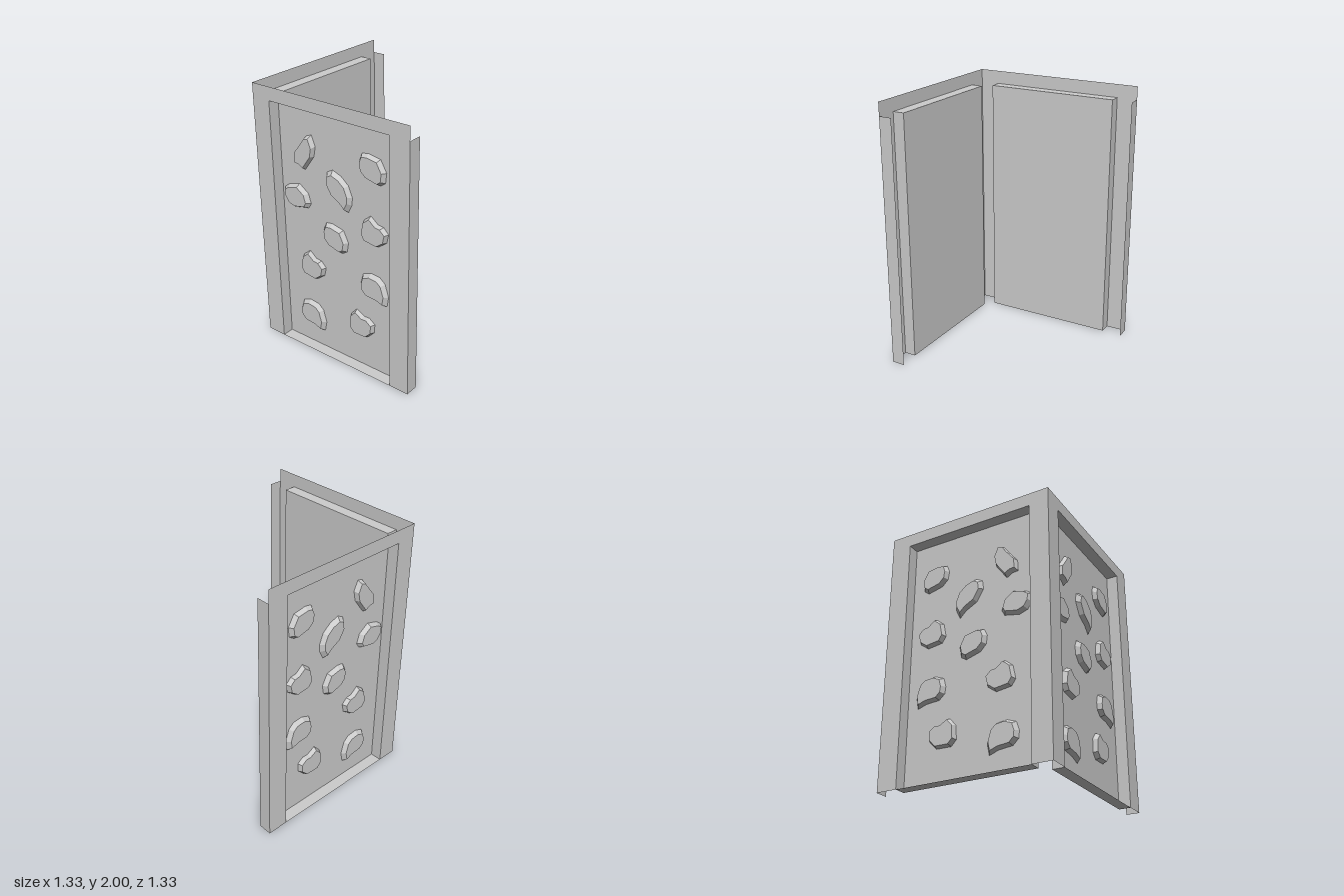
import * as THREE from 'three';

const W = 0.665;            // half width of a wall, also its distance from the centre
const H = 2, PANEL_H = 1.9; // wall height, recess height
const X0 = -0.515, X1 = 0.508; // recess sides
const BACK = 0.577;         // recess back plane
const Q = Math.PI / 2;

const material = new THREE.MeshStandardMaterial({
  color: 0xcccccc, flatShading: true, side: THREE.DoubleSide,
});

// Stone outlines in hundredths of a unit
const round = [[-11.1, 3.2], [-9, 8.5], [-3.7, 9.5], [6.3, 7.9], [11.1, -0.5], [10.1, -7.9],
  [6.3, -10.6], [-5.3, -7.9], [-10.1, -3.2]];
const hooked = [[-11.6, 2.1], [-9.5, 8.5], [-2.6, 11.1], [5.3, 10.1], [9.5, 6.3], [12.2, -3.2],
  [10.6, -11.1], [3.7, -8.5], [-6.9, -7.4], [-11.1, -3.2]];
const notched = [[-11.6, -3.2], [-9.5, 6.9], [-3.7, 11.6], [2.1, 6.9], [6.9, 6.3], [11.1, 2.1],
  [9.5, -4.8], [3.2, -9.5], [-8.5, -7.9]];
const drop = [[-11.6, 3.7], [-10.6, 10.6], [-5.8, 13.2], [1.6, 10.6], [7.9, 5.3], [11.1, -2.6],
  [10.6, -8.5], [7.4, -14.8], [2.6, -10.1], [-6.3, -5.3]];
const tall = [[-9.5, -10.1], [-9, -1.6], [-2.6, 6.3], [2.1, 12.7], [6.3, 13.8], [9.5, 6.3],
  [7.9, -1.6], [-0.5, -13.2], [-4.8, -10.6]];

// outline, x, y, turn in degrees, size of the front face against the base
const stones = [
  [tall, -0.283, 1.558, 0, 0.84],
  [round, 0.31, 1.595, 0, 0.82],
  [drop, 0.019, 1.357, 0, 0.8],
  [round, -0.373, 1.203, 25, 0.8],
  [notched, 0.325, 1.129, 0, 0.87],
  [round, -0.024, 0.98, -3, 0.8],
  [notched, -0.241, 0.673, 0, 0.87],
  [hooked, 0.312, 0.69, 2, 0.81],
  [hooked, -0.267, 0.254, 0, 0.81],
  [notched, 0.206, 0.35, 9, 0.87],
];

// Stone with a flat front and sloping sides
function stoneGeometry(outline, frontScale) {
  const depth = 0.033;
  const shape = new THREE.Shape(outline.map(([x, y]) => new THREE.Vector2(x / 100, y / 100)));
  const geo = new THREE.ExtrudeGeometry(shape, { depth, bevelEnabled: false });
  const p = geo.attributes.position;
  for (let i = 0; i < p.count; i++) {
    if (p.getZ(i) > depth / 2) p.setXY(i, p.getX(i) * frontScale, p.getY(i) * frontScale);
  }
  geo.computeVertexNormals();
  return geo;
}

function createWall(name) {
  const wall = new THREE.Group();
  wall.name = name;

  const add = (partName, geo, x, y, z, rx = 0, ry = 0, rz = 0) => {
    const mesh = new THREE.Mesh(geo, material);
    mesh.name = partName;
    mesh.position.set(x, y, z);
    mesh.rotation.set(rx, ry, rz);
    wall.add(mesh);
  };

  // Frame sheet around the recess, open at the bottom
  const frame = new THREE.Shape([
    [-W, 0], [X0, 0], [X0, PANEL_H], [X1, PANEL_H], [X1, 0], [W, 0], [W, H], [-W, H],
  ].map(([x, y]) => new THREE.Vector2(x, y)));
  add('frame', new THREE.ShapeGeometry(frame), 0, 0, W);

  // Recessed panel and the sides of the recess
  const w = X1 - X0, cx = (X0 + X1) / 2, d = W - BACK, cz = (W + BACK) / 2, cy = PANEL_H / 2;
  add('panel', new THREE.PlaneGeometry(w, PANEL_H), cx, cy, BACK);
  add('recessRightSide', new THREE.PlaneGeometry(d, PANEL_H), X0, cy, cz, 0, Q);
  add('recessLeftSide', new THREE.PlaneGeometry(d, PANEL_H), X1, cy, cz, 0, -Q);
  add('recessTop', new THREE.PlaneGeometry(w, d), cx, PANEL_H, cz, Q);
  add('recessFloor', new THREE.PlaneGeometry(w, d), cx, 0, cz, -Q);

  // Return strip on the free end
  add('endStrip', new THREE.PlaneGeometry(0.1, PANEL_H), W, cy, W - 0.05, 0, Q);

  // Stones set on the panel
  for (const [outline, x, y, turn, frontScale] of stones) {
    add('stone', stoneGeometry(outline, frontScale), x, y, BACK + 0.002,
      0, 0, THREE.MathUtils.degToRad(turn));
  }
  return wall;
}

export function createModel() {
  const model = new THREE.Group();
  model.name = 'cornerWall';
  model.add(createWall('frontWall'));

  // Side wall mirrors the front wall across the corner's diagonal
  const side = createWall('rightWall');
  side.scale.x = -1;
  side.rotation.y = -Q;
  model.add(side);
  return model;
}
